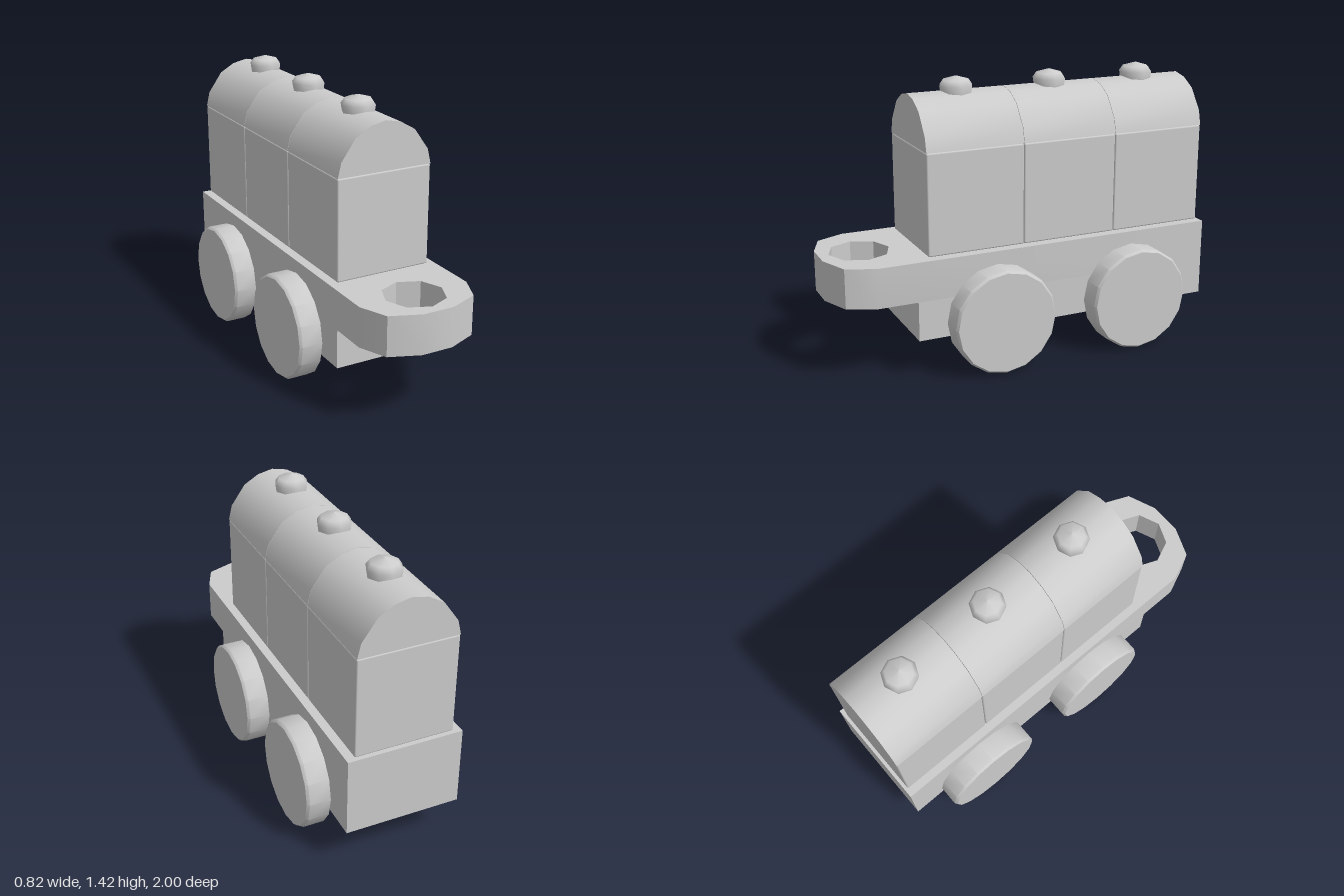
import * as THREE from 'three';
import { toCreasedNormals } from 'three/addons/utils/BufferGeometryUtils.js';
import { RoundedBoxGeometry } from 'three/addons/geometries/RoundedBoxGeometry.js';

const material = new THREE.MeshStandardMaterial({ color: 0xcccccc });

function part(name, geometry, x = 0, y = 0, z = 0) {
  const mesh = new THREE.Mesh(geometry, material);
  mesh.name = name;
  mesh.position.set(x, y, z);
  return mesh;
}

const crease = (geometry) => toCreasedNormals(geometry, 0.7);
const points = (list) => list.map(([x, y]) => new THREE.Vector2(x, y));

// Flat deck with a rounded nose and an eight-sided coupling hole
function deckGeometry() {
  const half = [[0.29, 1], [0.29, -0.8], [0.23, -0.94], [0.08, -1]];
  const mirrored = half.map(([x, y]) => [-x, y]).reverse();
  const shape = new THREE.Shape(points([...half, ...mirrored]));
  const hole = [];
  for (let i = 0; i < 8; i++) {
    const a = (i * Math.PI) / 4;
    hole.push([0.152 * Math.cos(a), -0.798 + 0.152 * Math.sin(a)]);
  }
  shape.holes.push(new THREE.Path(points(hole)));
  const geometry = new THREE.ExtrudeGeometry(shape, { depth: 0.2, bevelEnabled: false });
  return crease(geometry.rotateX(-Math.PI / 2));
}

// Arched lid, extruded along z and centred on it
function lidGeometry(length) {
  const side = [[0.25, 0], [0.232, 0.075], [0.157, 0.18], [0.08, 0.225]];
  const mirrored = side.map(([x, y]) => [-x, y]).reverse();
  const shape = new THREE.Shape(points([...side, [0, 0.242], ...mirrored]));
  const geometry = new THREE.ExtrudeGeometry(shape, { depth: length, bevelEnabled: false });
  return crease(geometry.translate(0, 0, -length / 2));
}

// Sixteen-sided wheel with a small chamfer, axis along x, inner face at x = 0
function wheelGeometry() {
  const profile = points([[0, 0], [0.267, 0], [0.267, 0.105], [0.256, 0.118], [0, 0.118]]);
  const geometry = new THREE.LatheGeometry(profile, 16);
  return crease(geometry.rotateZ(-Math.PI / 2));
}

export function createModel() {
  const model = new THREE.Group();
  model.name = 'toyWagon';

  // Chassis
  model.add(part('chassisBlock', new THREE.BoxGeometry(0.58, 0.2, 1.6), 0, 0.3, -0.2));
  model.add(part('deck', deckGeometry(), 0, 0.4, 0));

  // Wheels
  const wheel = wheelGeometry();
  for (const z of [0.187, -0.563]) {
    for (const side of [1, -1]) {
      const mesh = part(side > 0 ? 'leftWheel' : 'rightWheel', wheel, side * 0.29, 0.267, z);
      if (side < 0) mesh.rotation.y = Math.PI;
      model.add(mesh);
    }
  }

  // Row of canisters, each with an arched lid and a knob
  const body = new RoundedBoxGeometry(0.5, 0.508, 0.503, 2, 0.008);
  const lid = lidGeometry(0.503);
  const knob = new THREE.LatheGeometry(
    points([[0.078, -0.03], [0.086, 0.025], [0.066, 0.053], [0, 0.072]]), 8);
  for (const z of [0.278, -0.227, -0.732]) {
    const canister = new THREE.Group();
    canister.name = 'canister';
    canister.position.z = z;
    canister.add(part('canisterBody', body, 0, 0.857, 0));
    canister.add(part('lid', lid, 0, 1.112, 0));
    canister.add(part('knob', knob, 0, 1.35, 0));
    model.add(canister);
  }
  return model;
}
